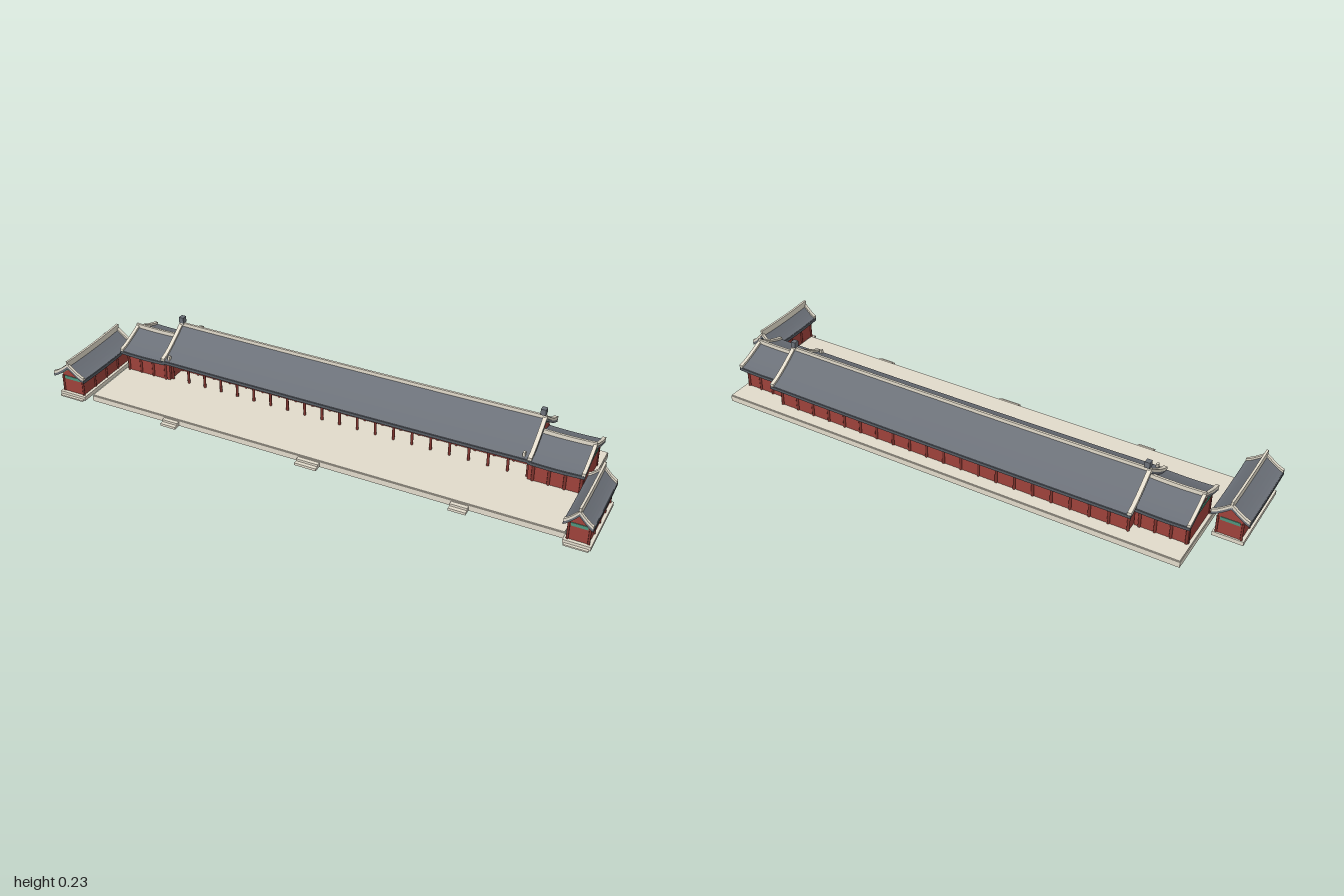
import * as THREE from 'three';

const mat = (name, color) => {
  const m = new THREE.MeshStandardMaterial({ color });
  m.name = name;
  return m;
};

export function createModel() {
  const stone = mat('pale stone', 0xe2dbcb);
  const tile = mat('grey roof tile', 0x6b7078);
  const eaveTile = mat('dark eave tile', 0x555b62);
  const red = mat('red wall', 0x9e423b);
  const post = mat('dark red timber', 0x80342e);
  const green = mat('green timber', 0x4f947d);

  const root = new THREE.Group();
  root.name = 'longHall';

  const add = (parent, name, geometry, material, x = 0, y = 0, z = 0) => {
    const m = new THREE.Mesh(geometry, material);
    m.name = name;
    m.position.set(x, y, z);
    parent.add(m);
    return m;
  };
  // Box given by its limits on each axis
  const box = (parent, name, material, x0, x1, y0, y1, z0, z1) =>
    add(parent, name, new THREE.BoxGeometry(x1 - x0, y1 - y0, z1 - z0), material,
      (x0 + x1) / 2, (y0 + y1) / 2, (z0 + z1) / 2);

  // Stone slab whose underside is slightly recessed inside a rim
  const slab = (parent, name, x0, x1, h, z0, z1) => {
    const r = 0.008, t = 0.003;
    box(parent, name, stone, x0, x1, r, h, z0, z1);
    for (const [a, b] of [[x0, x0 + t], [x1 - t, x1]]) box(parent, name + 'Rim', stone, a, b, 0, r, z0, z1);
    for (const [a, b] of [[z0, z0 + t], [z1 - t, z1]]) box(parent, name + 'Rim', stone, x0 + t, x1 - t, 0, r, a, b);
  };

  // Section in x/y swept from z0 to z1; the ends lift by a gentle curve
  const sweep = (parent, name, material, pts, z0, z1, half, lift) => {
    const shape = new THREE.Shape(pts.map(p => new THREE.Vector2(p[0], p[1])));
    const g = new THREE.ExtrudeGeometry(shape, {
      depth: z1 - z0, steps: z1 - z0 > 0.05 ? 10 : 1, bevelEnabled: false
    });
    g.translate(0, 0, z0);
    const p = g.attributes.position;
    for (let i = 0; i < p.count; i++) {
      p.setY(i, p.getY(i) + lift * (p.getZ(i) / half) ** 2);
    }
    g.computeVertexNormals();
    return add(parent, name, g, material);
  };

  // Concave gable roof along local z; returns its height curve
  function roof(parent, { half, span, eave, ridge, lift, ridgeH, trim, over, ends = [-1, 1] }) {
    const n = 6, thick = 0.012;
    const top = d => eave + (ridge - eave) * Math.max(0, 1 - Math.abs(d) / span) ** 1.25;
    const band = (lo, hi, w) => {
      const up = [], down = [];
      for (let i = -n; i <= n; i++) {
        const d = (i / n) * w;
        up.push([d, top(d) + hi]);
        down.unshift([d, top(d) + lo]);
      }
      return [...up, ...down];
    };
    sweep(parent, 'roofTiles', tile, band(-thick, 0, span), -half, half, half, lift);
    sweep(parent, 'roofSoffit', green, band(-thick - 0.004, -thick, span * 0.94),
      -half + over, half - over, half, lift);
    for (const s of [-1, 1]) {
      const a = s * span * 0.98, b = s * (span + 0.002);
      sweep(parent, 'eaveEdge', eaveTile,
        [[a, eave - thick - 0.001], [b, eave - thick - 0.001], [b, eave - 0.002], [a, eave - 0.001]],
        -half, half, half, lift);
    }
    // Pale ridge and gable edging
    sweep(parent, 'ridge', stone,
      [[-0.004, ridge - 0.01], [0.004, ridge - 0.01], [0.004, ridge + ridgeH], [-0.004, ridge + ridgeH]],
      -half, half, half, lift);
    for (const s of ends) {
      const z = s * (half - trim / 2);
      sweep(parent, 'gableEdging', stone, band(-0.002, 0.008, span + 0.001),
        z - trim / 2 - 0.001, z + trim / 2 + 0.001, half, lift);
    }
    return top;
  }

  // Gabled wall body along local z, topped by the roof curve
  function gable(parent, top, w, y0, z0, z1) {
    const pts = [[-w, y0], [w, y0]];
    for (let i = 6; i >= -6; i--) pts.push([(w * i) / 6, top((w * i) / 6) - 0.012]);
    sweep(parent, 'gableWall', red, pts, z0, z1, 1, 0);
  }

  // Row of posts along local z
  function posts(parent, x, y0, y1, z0, z1, count, r) {
    for (let i = 0; i < count; i++) {
      add(parent, 'post', new THREE.CylinderGeometry(r, r, y1 - y0, 8), post,
        x, (y0 + y1) / 2, z0 + ((z1 - z0) * i) / (count - 1));
    }
  }

  // Terrace with a thin cap and three front steps
  slab(root, 'terrace', -0.857, 0.908, 0.021, -0.257, 0.222);
  box(root, 'terraceCap', stone, -0.855, 0.906, 0.021, 0.025, -0.255, 0.22);
  for (const [x, w] of [[-0.52, 0.06], [0.022, 0.08], [0.563, 0.06]]) {
    box(root, 'lowerStep', stone, x - w / 2, x + w / 2, 0, 0.009, 0.222, 0.25);
    box(root, 'upperStep', stone, x - w / 2, x + w / 2, 0.009, 0.017, 0.222, 0.236);
  }

  // Main hall: local z runs along the hall, local -x faces the front
  const hall = new THREE.Group();
  hall.name = 'mainHall';
  hall.position.set(0.025, 0, -0.1025);
  hall.rotation.y = Math.PI / 2;
  root.add(hall);
  const hallTop = roof(hall, { half: 0.7025, span: 0.137, eave: 0.115, ridge: 0.197, lift: 0.003, ridgeH: 0.01, trim: 0.012, over: 0.018 });
  gable(hall, hallTop, 0.1, 0.106, -0.685, 0.685);
  box(hall, 'hallWall', red, -0.035, 0.103, 0.025, 0.107, -0.685, 0.685);
  for (const x of [-0.098, -0.035, 0.103]) {
    posts(hall, x, 0.025, 0.108, -0.683, 0.683, 21, 0.005);
    box(hall, 'greenBeam', green, x - 0.004, x + 0.004, 0.098, 0.108, -0.684, 0.684);
  }
  for (const s of [-1, 1]) {
    const z = s * 0.69;
    box(hall, 'ridgeFinialNeck', stone, -0.006, 0.006, 0.2, 0.213, z - 0.007, z + 0.007);
    box(hall, 'ridgeFinial', tile, -0.01, 0.01, 0.212, 0.234, z - 0.009, z + 0.009);
    box(hall, 'eaveFinial', stone, -0.131, -0.119, 0.118, 0.136, s * 0.674 - 0.004, s * 0.674 + 0.004);
  }

  // Lower wings at both ends
  for (const s of [-1, 1]) {
    const wing = new THREE.Group();
    wing.name = s > 0 ? 'leftWing' : 'rightWing';
    wing.position.set(0.025 + s * 0.785, 0, -0.08);
    wing.rotation.y = Math.PI / 2;
    root.add(wing);
    const top = roof(wing, { half: 0.095, span: 0.115, eave: 0.111, ridge: 0.156, lift: 0.003, ridgeH: 0.013, trim: 0.01, over: 0.012, ends: [s] });
    const z0 = s > 0 ? -0.098 : -0.084, z1 = s > 0 ? 0.084 : 0.098;
    gable(wing, top, 0.09, 0.025, z0, z1);
    for (const f of [-1, 1]) {
      posts(wing, f * 0.09, 0.025, 0.106, -0.08, 0.08, 4, 0.005);
      box(wing, 'greenBeam', green, f * 0.092 - 0.005, f * 0.092 + 0.005, 0.097, 0.106, z0, z1);
    }
    // Outer end wall: beam and posts
    box(wing, 'endBeam', green, -0.088, 0.068, 0.097, 0.108, s * 0.084 - 0.002, s * 0.084 + 0.002);
    for (const x of [-0.085, 0.085]) {
      box(wing, 'endPost', post, x - 0.004, x + 0.004, 0.025, 0.1, s * 0.084 - 0.003, s * 0.084 + 0.003);
    }
  }

  // Small side houses running front to back
  function sideHouse(name, x, z0, z1, span, w) {
    const house = new THREE.Group();
    house.name = name;
    house.position.set(x, 0, (z0 + z1) / 2);
    root.add(house);
    const half = (z1 - z0) / 2, back = -half + 0.008, front = half - 0.022;
    slab(house, 'houseBase', -w - 0.011, w + 0.011, 0.015, -half + 0.002, half - 0.01);
    box(house, 'houseStep', stone, -w - 0.006, w + 0.006, 0, 0.005, half - 0.01, half);
    const top = roof(house, { half, span, eave: 0.09, ridge: 0.133, lift: 0.004, ridgeH: 0.019, trim: 0.009, over: 0.022 });
    gable(house, top, w, 0.015, back, front);
    const bay = (front - back) / 4;
    for (const s of [-1, 1]) {
      posts(house, s * w, 0.015, 0.08, back, front, 5, 0.004);
      for (let i = 0; i < 4; i++) {
        const c = back + (i + 0.5) * bay;
        box(house, 'greenPanel', green, s * w - 0.003, s * w + 0.003, 0.069, 0.078,
          c - bay * 0.33, c + bay * 0.33);
      }
    }
    for (const z of [back, front]) {
      box(house, 'endPanel', green, -w * 0.8, w * 0.8, 0.068, 0.08, z - 0.002, z + 0.002);
    }
  }
  sideHouse('leftSideHouse', 0.952, -0.01, 0.256, 0.046, 0.034);
  sideHouse('rightSideHouse', -0.935, -0.065, 0.247, 0.063, 0.042);

  return root;
}
